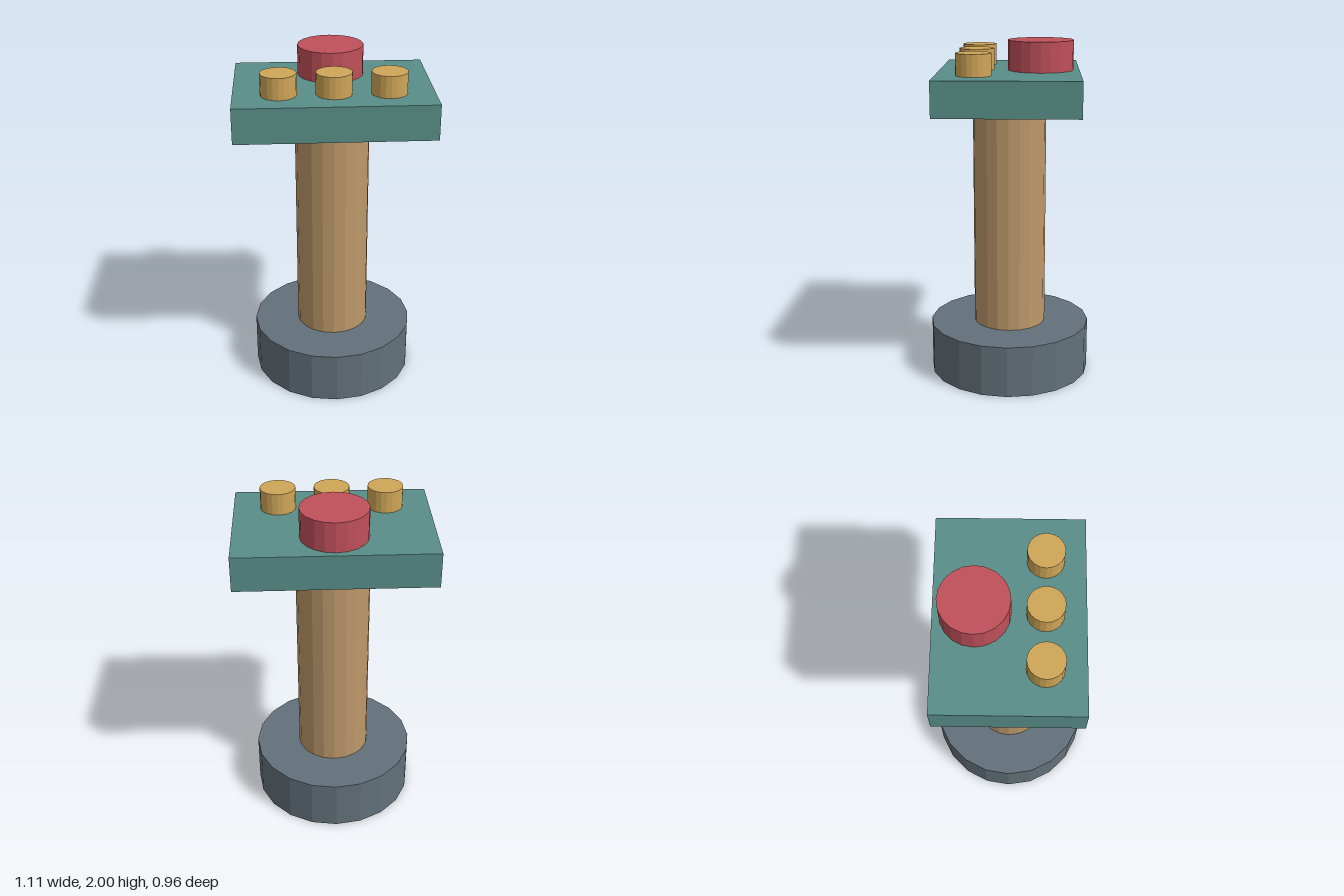
import * as THREE from 'three';

export function createModel() {
  const model = new THREE.Group();
  model.name = 'controlPedestal';

  const material = (name, color) => {
    const m = new THREE.MeshStandardMaterial({ color, flatShading: true });
    m.name = name;
    return m;
  };
  const slate = material('slate', 0x63717a);
  const wood = material('wood', 0xbd986a);
  const teal = material('teal', 0x598e88);
  const red = material('red', 0xc0505a);
  const gold = material('gold', 0xd0a658);

  const add = (name, geometry, mat, x, y, z) => {
    const mesh = new THREE.Mesh(geometry, mat);
    mesh.name = name;
    mesh.position.set(x, y, z);
    model.add(mesh);
  };
  // Upright 20-sided cylinder between two heights
  const drum = (name, mat, radius, bottom, top, x = 0, z = 0) =>
    add(name, new THREE.CylinderGeometry(radius, radius, top - bottom, 20), mat, x, (bottom + top) / 2, z);

  // Foot and post
  drum('base', slate, 0.478, 0, 0.304);
  drum('post', wood, 0.214, 0.304, 1.597);

  // Control panel, just clear of the post
  add('panel', new THREE.BoxGeometry(1.106, 0.2, 0.804), teal, 0, 1.729, 0);

  // Large button at the back, row of three small ones at the front
  drum('largeButton', red, 0.189, 1.829, 2, 0, -0.179);
  ['rightButton', 'middleButton', 'leftButton'].forEach((name, i) =>
    drum(name, gold, 0.1, 1.829, 1.952, (i - 1) * 0.302, 0.188));

  return model;
}
